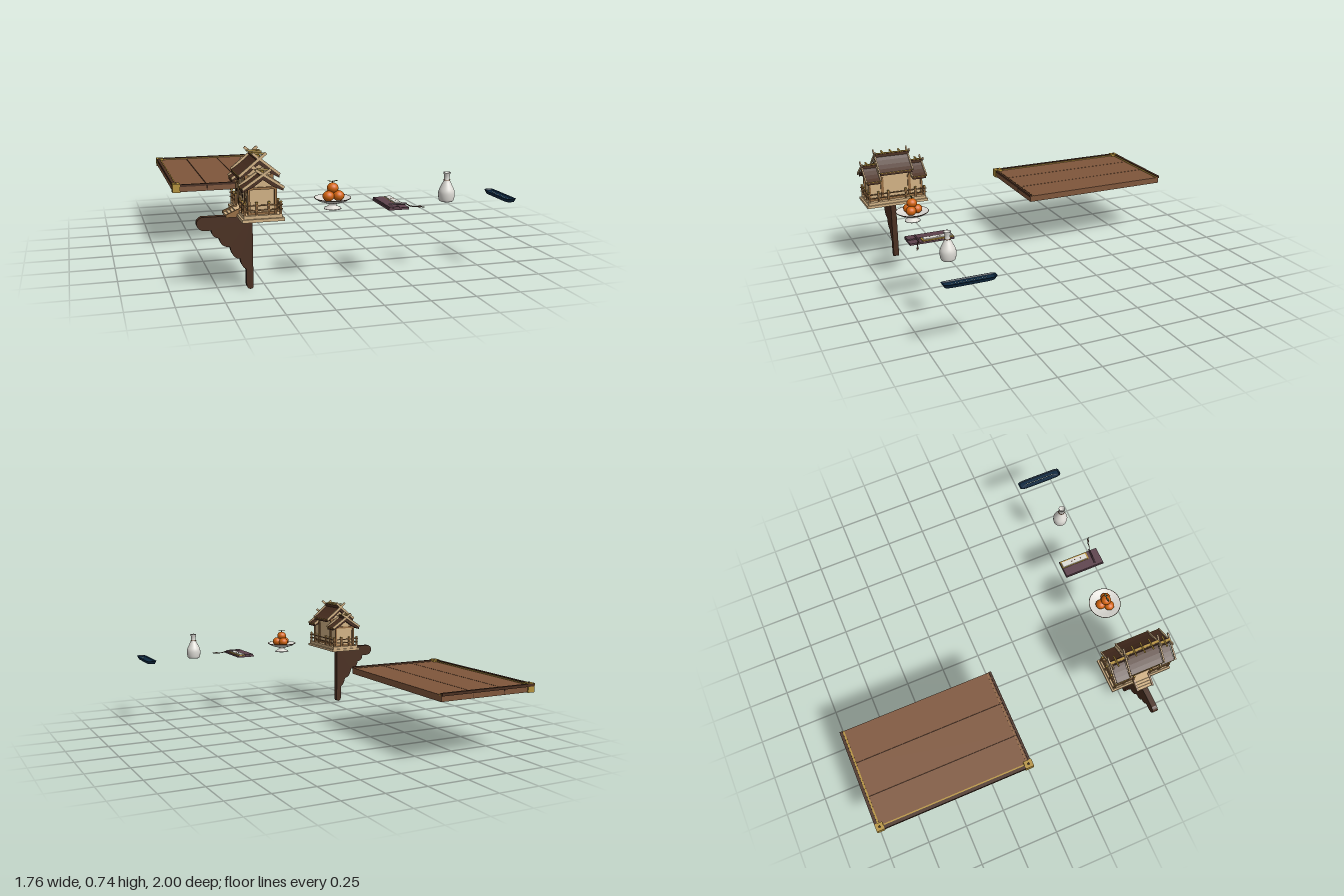
import * as THREE from 'three';

const mat = (name, color, side = THREE.FrontSide) => {
  const m = new THREE.MeshStandardMaterial({ color, side });
  m.name = name;
  return m;
};

export function createModel() {
  const M = {
    plank: mat('plankBrown', 0x7f563b), dark: mat('darkWood', 0x4a2f20), gold: mat('brass', 0xb5923c),
    pale: mat('paleWood', 0xd2b285), mid: mat('midWood', 0x9a7145), white: mat('porcelain', 0xdedcd6, THREE.DoubleSide),
    orange: mat('orangePeel', 0xd4640f), navy: mat('navy', 0x0f2a42), purple: mat('purpleCloth', 0x5d424c),
    leaf: mat('leafGreen', 0x4a5a2a, THREE.DoubleSide),
  };
  const root = new THREE.Group();
  root.name = 'shrineShelfSet';
  const group = (name, x, y, z, parent = root) => {
    const g = new THREE.Group();
    g.name = name;
    g.position.set(x, y, z);
    parent.add(g);
    return g;
  };
  const add = (p, name, geo, m, x = 0, y = 0, z = 0) => {
    const o = new THREE.Mesh(geo, m);
    o.name = name;
    o.position.set(x, y, z);
    p.add(o);
    return o;
  };
  // box given by its limits on each axis
  const box = (p, name, m, x0, x1, y0, y1, z0, z1) =>
    add(p, name, new THREE.BoxGeometry(x1 - x0, y1 - y0, z1 - z0), m, (x0 + x1) / 2, (y0 + y1) / 2, (z0 + z1) / 2);
  // outline in x, y extruded along z and centred on it
  const prism = (pts, depth) => {
    const s = new THREE.Shape(pts.map(([x, y]) => new THREE.Vector2(x, y)));
    return new THREE.ExtrudeGeometry(s, { depth, bevelEnabled: false }).translate(0, 0, -depth / 2);
  };
  const lathe = (pts, n = 32) => new THREE.LatheGeometry(pts.map(([r, y]) => new THREE.Vector2(r, y)), n);
  const tube = (pts, r) => new THREE.TubeGeometry(
    new THREE.CatmullRomCurve3(pts.map((a) => new THREE.Vector3(...a))), 16, r, 6);

  // Shelf board: three planks, raised lips, brass trim and corners
  const shelf = group('shelf', 0, 0, 0);
  box(shelf, 'shelfCore', M.dark, -0.87, -0.255, 0.363, 0.392, -0.99, -0.03);
  [[-0.872, -0.677], [-0.673, -0.463], [-0.459, -0.25]].forEach(([a, b]) =>
    box(shelf, 'plank', M.plank, a, b, 0.36, 0.398, -0.992, -0.024));
  box(shelf, 'sideLip', M.dark, -0.882, -0.862, 0.392, 0.408, -0.995, -0.02);
  box(shelf, 'sideEdge', M.plank, -0.879, -0.872, 0.36, 0.392, -0.99, -0.025);
  box(shelf, 'backLip', M.dark, -0.88, -0.25, 0.392, 0.408, -1, -0.982);
  box(shelf, 'frontLip', M.dark, -0.88, -0.25, 0.392, 0.406, -0.034, -0.02);
  box(shelf, 'sideTrim', M.gold, -0.862, -0.853, 0.392, 0.402, -0.982, -0.034);
  box(shelf, 'backTrim', M.gold, -0.862, -0.25, 0.392, 0.402, -0.982, -0.972);
  box(shelf, 'frontTrim', M.mid, -0.862, -0.25, 0.392, 0.4, -0.048, -0.044);
  [[-1, -0.952], [-0.067, -0.015]].forEach(([a, b]) => {
    box(shelf, 'cornerCap', M.gold, -0.884, -0.838, 0.358, 0.411, a, b);
    add(shelf, 'cornerStud', new THREE.SphereGeometry(0.006, 10, 6), M.dark, -0.861, 0.411, (a + b) / 2);
  });

  // Carved support bracket
  const b = new THREE.Shape();
  b.moveTo(-0.57, 0.4);
  b.lineTo(-0.835, 0.4);
  b.quadraticCurveTo(-0.868, 0.385, -0.858, 0.355);
  b.quadraticCurveTo(-0.845, 0.32, -0.785, 0.33);
  b.quadraticCurveTo(-0.785, 0.29, -0.745, 0.285);
  b.quadraticCurveTo(-0.74, 0.235, -0.69, 0.235);
  b.quadraticCurveTo(-0.68, 0.17, -0.638, 0.168);
  b.quadraticCurveTo(-0.632, 0.12, -0.606, 0.11);
  b.lineTo(-0.606, 0.03);
  b.quadraticCurveTo(-0.604, 0, -0.585, 0);
  b.quadraticCurveTo(-0.57, 0, -0.57, 0.015);
  const bracket = new THREE.ExtrudeGeometry(b, { depth: 0.034, bevelEnabled: false, curveSegments: 8 });
  add(root, 'bracket', bracket, M.dark, 0, 0, 0.783);

  // Miniature shrine, its doors toward -x and its ridge along z
  const shrine = group('shrine', -0.55, 0.4, 0.8);
  box(shrine, 'basePlinth', M.pale, -0.108, 0.108, 0, 0.016, -0.195, 0.195);
  box(shrine, 'baseFloor', M.pale, -0.098, 0.098, 0.016, 0.033, -0.185, 0.185);
  for (let i = 0; i < 4; i++) {
    box(shrine, 'step', M.pale, -0.162 + i * 0.016, -0.098, 0, 0.009 + i * 0.008, -0.045, 0.045);
  }
  [-1, 1].forEach((s) => add(shrine, 'stairStringer',
    prism([[-0.165, 0], [-0.09, 0], [-0.09, 0.044], [-0.105, 0.04], [-0.165, 0.014]], 0.01), M.mid, 0, 0, s * 0.05));

  // Curved roof with crossed bargeboards, ridge and ridge logs
  const roof = (name, z, len, ridge, eave, logs) => {
    const g = group(name, 0, 0, z, shrine);
    const h = ridge - eave, half = 0.105;
    const top = [0, 0.25, 0.5, 0.75, 1].map((t) => [t * half, ridge - h * (1.3 * t - 0.3 * t * t)]);
    const right = [...top, [half, eave - 0.018], [half / 2, eave + h * 0.425 - 0.025], [0, ridge - 0.028]];
    [right, right.map(([x, y]) => [-x, y]).reverse()].forEach((pts) =>
      add(g, 'roofSlope', prism(pts, len - 0.012), M.dark));
    box(g, 'ridgeBeam', M.dark, -0.013, 0.013, ridge - 0.008, ridge + 0.01, -len / 2, len / 2);
    box(g, 'ridgeCap', M.gold, -0.007, 0.007, ridge + 0.01, ridge + 0.014, -len / 2, len / 2);
    logs.forEach((lz) => {
      const log = add(g, 'ridgeLog', new THREE.CylinderGeometry(0.005, 0.005, 0.07, 10), M.gold, 0, ridge + 0.018, lz);
      log.rotation.z = Math.PI / 2;
    });
    const a = Math.atan2(h, half), L = Math.hypot(h, half) + 0.045;
    [-1, 1].forEach((e) => [-1, 1].forEach((s) => {
      const board = add(g, 'bargeboard', new THREE.BoxGeometry(L, 0.014, 0.008), M.pale,
        s * (half - Math.cos(a) * L / 2), eave + Math.sin(a) * L / 2, e * (len / 2 - s * 0.002));
      board.rotation.z = -s * a;
    }));
    [-1, 1].forEach((s) => box(g, 'eaveTrim', M.gold, s * 0.105 - 0.002, s * 0.105 + 0.002, eave - 0.004, eave, -len / 2, len / 2));
  };
  roof('mainRoof', 0, 0.215, 0.305, 0.22, [-0.055, 0, 0.055]);
  [-1, 1].forEach((s) => roof('wingRoof', s * 0.146, 0.096, 0.24, 0.17, [s * 0.012]));

  // Gabled bodies with posts, beams and doors
  const hall = (name, z, len, wall, peak) => {
    const g = group(name, 0, 0, z, shrine);
    add(g, 'walls', prism([[-0.066, 0.033], [0.066, 0.033], [0.066, wall], [0, peak], [-0.066, wall]], len - 0.008), M.pale);
    [-1, 1].forEach((s) => {
      [-1, 1].forEach((e) => box(g, 'post', M.mid, s * 0.068 - 0.006, s * 0.068 + 0.006, 0.033, wall,
        e * len / 2 - 0.006, e * len / 2 + 0.006));
      [0.04, wall - 0.012].forEach((y) => {
        box(g, 'longBeam', M.mid, s * 0.068 - 0.004, s * 0.068 + 0.004, y - 0.006, y + 0.006, -len / 2, len / 2);
        box(g, 'crossBeam', M.mid, -0.07, 0.07, y - 0.006, y + 0.006, s * len / 2 - 0.004, s * len / 2 + 0.004);
      });
    });
    const n = len > 0.12 ? 2 : 1, w = (len - 0.035) / n;
    for (let i = 0; i < n; i++) {
      const c = (i - (n - 1) / 2) * w;
      box(g, 'doorFrame', M.mid, -0.07, -0.064, 0.046, wall - 0.03, c - w / 2 + 0.002, c + w / 2 - 0.002);
      box(g, 'doorPanel', M.pale, -0.072, -0.068, 0.056, wall - 0.04, c - w / 2 + 0.009, c + w / 2 - 0.009);
      box(g, 'doorFitting', M.dark, -0.075, -0.07, 0.095, 0.112, c - 0.006, c + 0.006);
    }
  };
  hall('mainHall', 0, 0.18, 0.225, 0.275);
  [-1, 1].forEach((s) => hall('wingHall', s * 0.125, 0.082, 0.178, 0.215));

  // Veranda railing, open at the steps
  const rail = group('railing', 0, 0, 0, shrine);
  const post = (x, z) => {
    box(rail, 'railPost', M.mid, x - 0.005, x + 0.005, 0.033, 0.094, z - 0.005, z + 0.005);
    box(rail, 'postCap', M.gold, x - 0.006, x + 0.006, 0.094, 0.1, z - 0.006, z + 0.006);
  };
  [-0.178, -0.118, -0.056, 0.056, 0.118, 0.178].forEach((z) => [-0.092, 0.092].forEach((x) => post(x, z)));
  [-0.178, 0.178].forEach((z) => [-0.031, 0.031].forEach((x) => post(x, z)));
  [0.058, 0.082].forEach((y) => {
    [-1, 1].forEach((s) => {
      box(rail, 'endRail', M.mid, -0.103, 0.103, y - 0.003, y + 0.003, s * 0.178 - 0.003, s * 0.178 + 0.003);
      const [z0, z1] = s > 0 ? [0.056, 0.19] : [-0.19, -0.056];
      box(rail, 'frontRail', M.mid, -0.095, -0.089, y - 0.003, y + 0.003, z0, z1);
    });
    box(rail, 'backRail', M.mid, 0.089, 0.095, y - 0.003, y + 0.003, -0.19, 0.19);
  });

  // Footed dish with stacked oranges
  const fruit = group('fruitStand', -0.133, 0.4, 0.8);
  add(fruit, 'footedDish', lathe([[0, 0.008], [0.036, 0], [0.047, 0], [0.044, 0.006], [0.022, 0.016], [0.018, 0.028],
    [0.04, 0.033], [0.075, 0.044], [0.098, 0.058], [0.096, 0.061], [0.07, 0.05], [0.035, 0.042], [0, 0.04]], 40), M.white);
  add(fruit, 'dishRim', new THREE.TorusGeometry(0.097, 0.0018, 6, 40).rotateX(Math.PI / 2), M.dark, 0, 0.06, 0);
  [[0, 0.072, -0.03], [-0.028, 0.072, 0.015], [0.028, 0.072, 0.015], [0, 0.112, 0]].forEach(([x, y, z]) => {
    add(fruit, 'orange', new THREE.SphereGeometry(0.031, 20, 14).scale(1, 0.9, 1), M.orange, x, y, z);
  });
  add(fruit, 'stem', new THREE.CylinderGeometry(0.002, 0.003, 0.014, 6), M.dark, 0, 0.144, 0);
  [-1, 1].forEach((s) => {
    const l = add(fruit, 'leaf', new THREE.SphereGeometry(0.015, 10, 6).scale(1, 0.12, 0.4), M.leaf, s * 0.015, 0.149, 0);
    l.rotation.z = s * 0.15;
  });

  // Folded cloth case with a paper slip, a brush and its cord
  const caseG = group('writingCase', 0, 0.4, 0);
  box(caseG, 'caseBase', M.purple, 0.137, 0.25, 0, 0.011, 0.67, 0.93);
  box(caseG, 'caseFold', M.purple, 0.141, 0.197, 0.011, 0.018, 0.672, 0.928);
  box(caseG, 'goldBacking', M.gold, 0.199, 0.246, 0.011, 0.017, 0.672, 0.855);
  box(caseG, 'paperSlip', M.white, 0.203, 0.238, 0.017, 0.022, 0.678, 0.845);
  [0.74, 0.76, 0.8].forEach((z, i) =>
    box(caseG, 'inkMark', M.dark, 0.217 + (i % 2) * 0.004, 0.224 + (i % 2) * 0.004, 0.022, 0.0225, z, z + 0.009));
  add(caseG, 'brushHandle', tube([[0.155, 0.02, 0.875], [0.2, 0.021, 0.877], [0.255, 0.02, 0.88]], 0.005), M.purple);
  add(caseG, 'cord', tube([[0.25, 0.02, 0.88], [0.275, 0.008, 0.895], [0.305, 0.005, 0.9], [0.342, 0.005, 0.92]], 0.0028), M.dark);
  add(caseG, 'tassel', new THREE.SphereGeometry(0.006, 10, 6).scale(2, 0.8, 1), M.dark, 0.32, 0.006, 0.908);

  // Sake bottle with a corded neck
  const bottle = group('bottle', 0.522, 0.4, 0.8);
  const prof = [[0.034, 0], [0.041, 0.008], [0.045, 0.035], [0.043, 0.06], [0.03, 0.09], [0.018, 0.115], [0.015, 0.135],
    [0.019, 0.158], [0.021, 0.162]].map(([r, y]) => new THREE.Vector2(r, y));
  const curve = new THREE.SplineCurve(prof).getPoints(32).map((p) => [p.x, p.y]);
  add(bottle, 'bottleBody', lathe([[0, 0.001], ...curve, [0.016, 0.16], [0.011, 0.14], [0, 0.135]]), M.white);
  add(bottle, 'neckBand', new THREE.TorusGeometry(0.0172, 0.0022, 6, 24).rotateX(Math.PI / 2), M.plank, 0, 0.12, 0);

  // Long lacquer tray: rounded outline flaring upward, with a sunken top
  const ring = (w, l, y) => {
    const pts = [];
    for (let i = 0; i < 40; i++) {
      const a = (i / 40) * Math.PI * 2, c = Math.cos(a), s = Math.sin(a);
      pts.push(w * Math.sign(c) * Math.abs(c) ** 0.4, y + 0.002 * s * s, l * Math.sign(s) * Math.abs(s) ** 0.25);
    }
    return pts;
  };
  const rings = [ring(0.001, 0.1, 0), ring(0.022, 0.134, 0), ring(0.031, 0.146, 0.02), ring(0.028, 0.142, 0.02),
    ring(0.024, 0.136, 0.014), ring(0.001, 0.1, 0.014)];
  const idx = [];
  for (let r = 0; r < rings.length - 1; r++) {
    for (let i = 0; i < 40; i++) {
      const a = r * 40 + i, c = r * 40 + (i + 1) % 40;
      idx.push(a, a + 40, c, c, a + 40, c + 40);
    }
  }
  const tray = new THREE.BufferGeometry();
  tray.setAttribute('position', new THREE.Float32BufferAttribute(rings.flat(), 3));
  tray.setIndex(idx);
  const flat = tray.toNonIndexed();
  flat.computeVertexNormals();
  add(root, 'lacquerTray', flat, M.navy, 0.848, 0.4, 0.8);
  return root;
}
